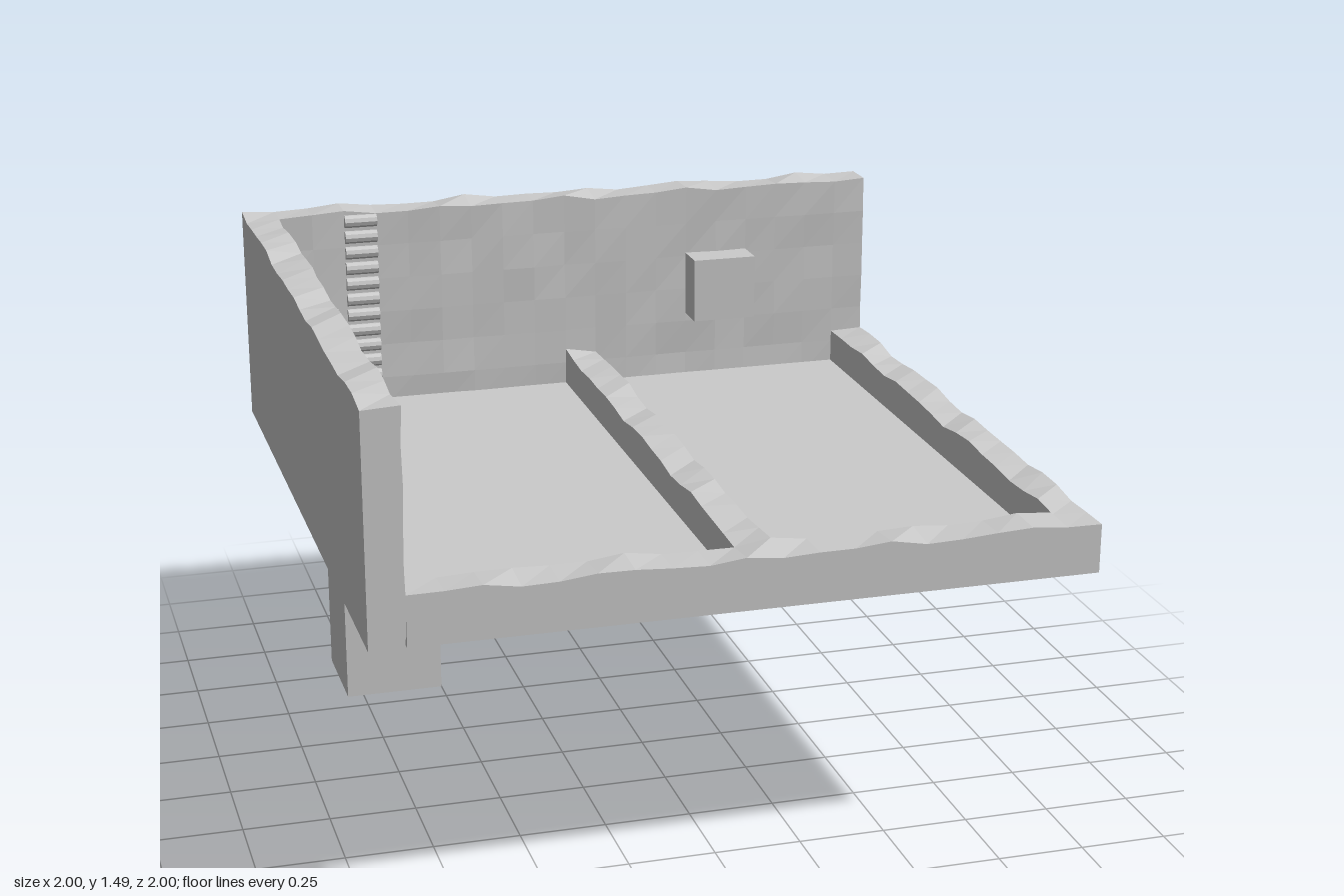
import * as THREE from 'three';

const mat = new THREE.MeshStandardMaterial({ color: 0xcccccc, flatShading: true });

// repeatable noise in -1..1 and a smooth ripple for worn wall tops
const hash = (a, b, c) => {
  const s = Math.sin(a * 127.1 + b * 311.7 + c * 74.7) * 43758.5453;
  return (s - Math.floor(s)) * 2 - 1;
};
const ripple = (x, z) =>
  0.006 * Math.sin(17 * x + 13 * z + 1) + 0.004 * Math.sin(29 * x - 23 * z) + 0.003 * Math.sin(9 * z - 11 * x + 2);

export function createModel() {
  const model = new THREE.Group();

  function add(name, geo, x = 0, y = 0, z = 0) {
    const mesh = new THREE.Mesh(geo, mat);
    mesh.name = name;
    mesh.position.set(x, y, z);
    model.add(mesh);
    return mesh;
  }

  function block(name, x0, x1, y0, y1, z0, z1) {
    return add(name, new THREE.BoxGeometry(x1 - x0, y1 - y0, z1 - z0),
      (x0 + x1) / 2, (y0 + y1) / 2, (z0 + z1) / 2);
  }

  // wall with a rippled top; `rough` names the axis of an uneven inner face
  function wall(name, x0, x1, top, z0, z1, rough) {
    const y0 = 0.83, w = x1 - x0, h = top - y0, d = z1 - z0;
    const seg = (v) => Math.max(1, Math.round(v / 0.1));
    const geo = new THREE.BoxGeometry(w, h, d, seg(w), seg(h), seg(d));
    geo.translate((x0 + x1) / 2, y0 + h / 2, (z0 + z1) / 2);
    const p = geo.attributes.position;
    for (let i = 0; i < p.count; i++) {
      const x = p.getX(i), y = p.getY(i), z = p.getZ(i);
      const key = [x, y, z].map((v) => Math.round(v * 100));
      if (y > top - 0.001) p.setY(i, y + ripple(x, z));
      if (rough === 'z' && z > z1 - 0.001) p.setZ(i, z + 0.004 * hash(...key));
      if (rough === 'x' && x > x1 - 0.001) p.setX(i, x + 0.004 * hash(...key));
    }
    geo.computeVertexNormals();
    return add(name, geo);
  }

  // base, tall walls behind and on one side, low walls around the basins
  block('floor', -0.9, 0.9, 0.83, 0.87, -0.9, 0.89);
  wall('backWall', -0.9, 1, 1.475, -1, -0.9, 'z');
  wall('sideWall', -1, -0.9, 1.475, -1, 1, 'x');
  wall('frontCurb', -0.9, 0.9, 0.973, 0.89, 1);
  wall('sideCurb', 0.9, 1, 0.973, -0.9, 1);
  wall('middleCurb', 0, 0.1, 0.973, -0.9, 0.89);

  // supporting pillar and wall box
  block('pillar', -0.8, -0.5, 0, 0.83, -0.875, -0.575);
  block('wallBox', 0.4, 0.6, 1.07, 1.27, -0.91, -0.8);

  // ladder of round rungs half sunk in the back wall
  const rung = new THREE.CylinderGeometry(0.02, 0.02, 0.1, 10).rotateZ(Math.PI / 2);
  for (let i = 0; i < 12; i++) add('ladderRung', rung, -0.65, 0.9 + i * 0.05, -0.9);

  // forked crack on the side wall, drawn in z and y
  const crack = new THREE.Shape([
    [0.335, 1.46], [0.3, 1.43], [0.27, 1.41], [0.315, 1.36], [0.22, 1.42], [0.11, 1.47],
    [0.16, 1.42], [0.22, 1.385], [0.305, 1.335], [0.31, 1.28], [0.305, 1.2], [0.31, 1.12],
    [0.32, 1.12], [0.322, 1.2], [0.33, 1.28], [0.325, 1.36], [0.285, 1.41],
  ].map(([z, y]) => new THREE.Vector2(z, y)));
  const crackGeo = new THREE.ExtrudeGeometry(crack, { depth: 0.02, bevelEnabled: false });
  crackGeo.rotateY(-Math.PI / 2);
  add('wallCrack', crackGeo, -0.895);

  return model;
}
